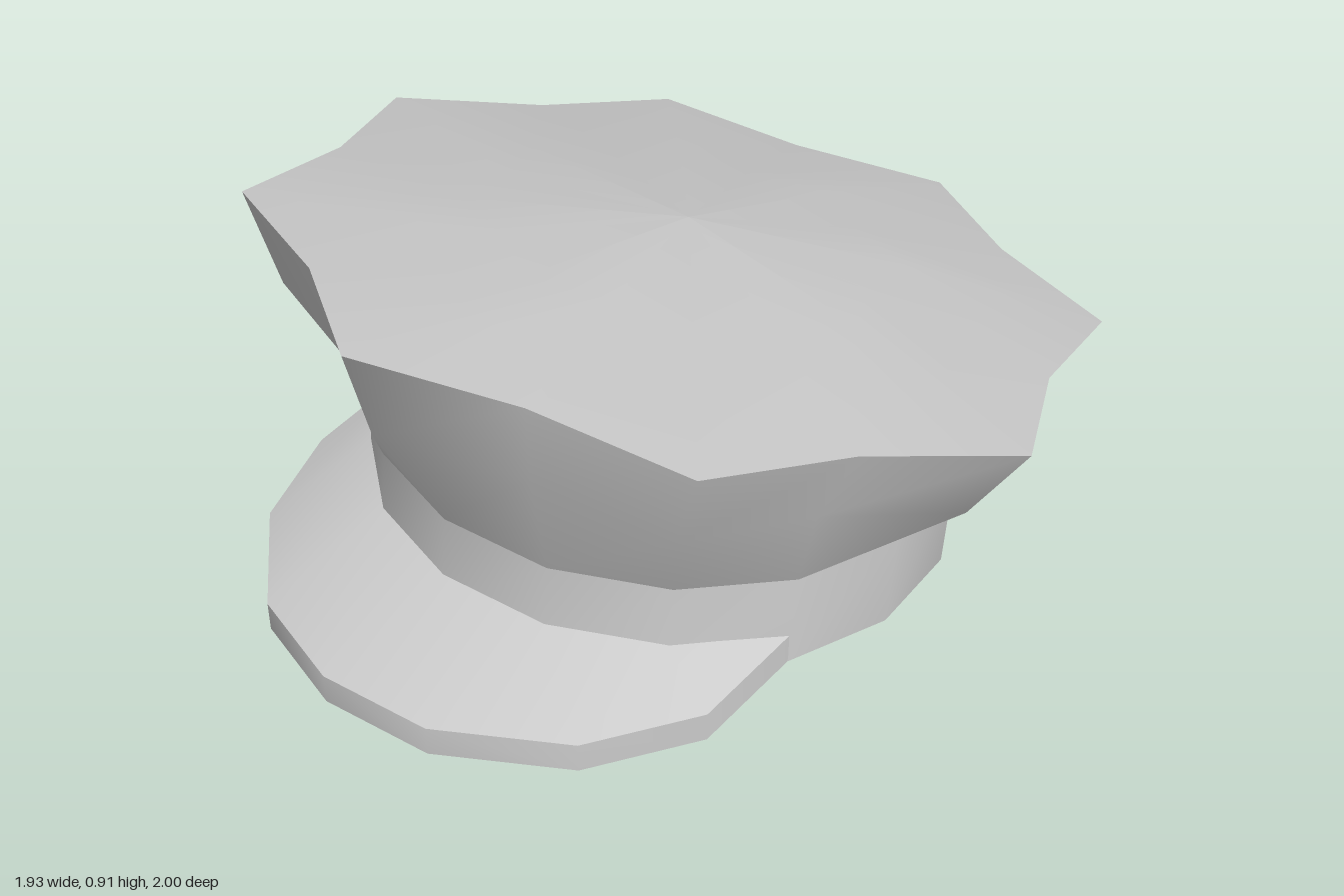
import * as THREE from 'three';
import { toCreasedNormals } from 'three/addons/utils/BufferGeometryUtils.js';

const N = 16;
const material = new THREE.MeshStandardMaterial({ color: 0xcccccc });

// Tilted ring of N points; odd points may use a second radius, lift moves it along its normal
function ring(y, z, degrees, radius, oddRadius = radius, lift = 0) {
  const t = THREE.MathUtils.degToRad(degrees);
  return Array.from({ length: N }, (_, k) => {
    const a = (k / N) * Math.PI * 2;
    const r = k % 2 ? oddRadius : radius;
    const d = r * Math.sin(a);
    return new THREE.Vector3(
      r * Math.cos(a),
      y + d * Math.sin(t) + lift * Math.cos(t),
      z + d * Math.cos(t) - lift * Math.sin(t)
    );
  });
}

function geometryFrom(points, index) {
  const g = new THREE.BufferGeometry().setFromPoints(points);
  g.setIndex(index);
  g.computeVertexNormals();
  return g;
}

// Smooth skin through a list of rings
function loft(name, rings) {
  const index = [];
  for (let j = 0; j < rings.length - 1; j++) {
    for (let k = 0; k < N; k++) {
      const a = j * N + k, b = j * N + ((k + 1) % N);
      index.push(a, a + N, b, b, a + N, b + N);
    }
  }
  const mesh = new THREE.Mesh(geometryFrom(rings.flat(), index), material);
  mesh.name = name;
  return mesh;
}

// Curved peak: a closed four-corner section swept around the front of the band
function makeVisor() {
  const thickness = 0.074;
  // inner point on the band, outer point on the free edge, as [x, y, z]
  const half = [
    [[0.63, 0.165, 0.25], [0.63, 0.115, 0.5]],
    [[0.48, 0.187, 0.465], [0.505, 0.12, 0.75]],
    [[0.26, 0.2, 0.61], [0.26, 0.135, 0.945]],
    [[0, 0.205, 0.66], [0, 0.14, 1]],
  ];
  const mirrored = half.slice(0, 3).reverse()
    .map(pair => pair.map(([x, y, z]) => [-x, y, z]));
  const sections = [...half, ...mirrored];
  const points = [];
  for (const [inner, outer] of sections) {
    const i = new THREE.Vector3(...inner), o = new THREE.Vector3(...outer);
    const down = new THREE.Vector3(0, -thickness, 0);
    points.push(i, o, o.clone().add(down), i.clone().add(down));
  }
  const index = [0, 1, 2, 0, 2, 3];
  for (let p = 0; p < sections.length - 1; p++) {
    for (let s = 0; s < 4; s++) {
      const a = p * 4 + s, c = p * 4 + ((s + 1) % 4);
      index.push(a, a + 4, c, c, a + 4, c + 4);
    }
  }
  const e = (sections.length - 1) * 4;
  index.push(e, e + 2, e + 1, e, e + 3, e + 2);
  const geometry = toCreasedNormals(geometryFrom(points, index).toNonIndexed(), 0.75);
  const mesh = new THREE.Mesh(geometry, material);
  mesh.name = 'visor';
  return mesh;
}

export function createModel() {
  const cap = new THREE.Group();
  cap.name = 'peakedCap';

  // Shared rings, from the head opening up to the crown
  const openingEdge = ring(0.066, -0.01, 5.5, 0.618);
  const bandBottom = ring(0.066, -0.01, 5.5, 0.683);
  const bandTop = ring(0.29, -0.03, 5.5, 0.683);
  const crownMiddle = ring(0.4825, -0.02, 13.4, 0.857, 0.755);
  const crownRim = ring(0.67, -0.066, 14.5, 0.965, 0.848);

  // Domed hollow inside the cap
  cap.add(loft('lining', [
    ring(0.066, -0.01, 5.5, 0, 0, 0.42),
    ring(0.066, -0.01, 5.5, 0.42, 0.42, 0.27),
    openingEdge,
  ]));

  // Headband
  cap.add(loft('bandLowerEdge', [openingEdge, bandBottom]));
  cap.add(loft('band', [bandBottom, bandTop]));

  // Flared eight-pointed crown with a slightly domed top
  cap.add(loft('crownSide', [bandTop, crownMiddle, crownRim]));
  cap.add(loft('crownTop', [
    crownRim,
    ring(0.67, -0.066, 14.5, 0.49, 0.43, 0.065),
    ring(0.67, -0.066, 14.5, 0, 0, 0.1),
  ]));

  cap.add(makeVisor());
  return cap;
}
